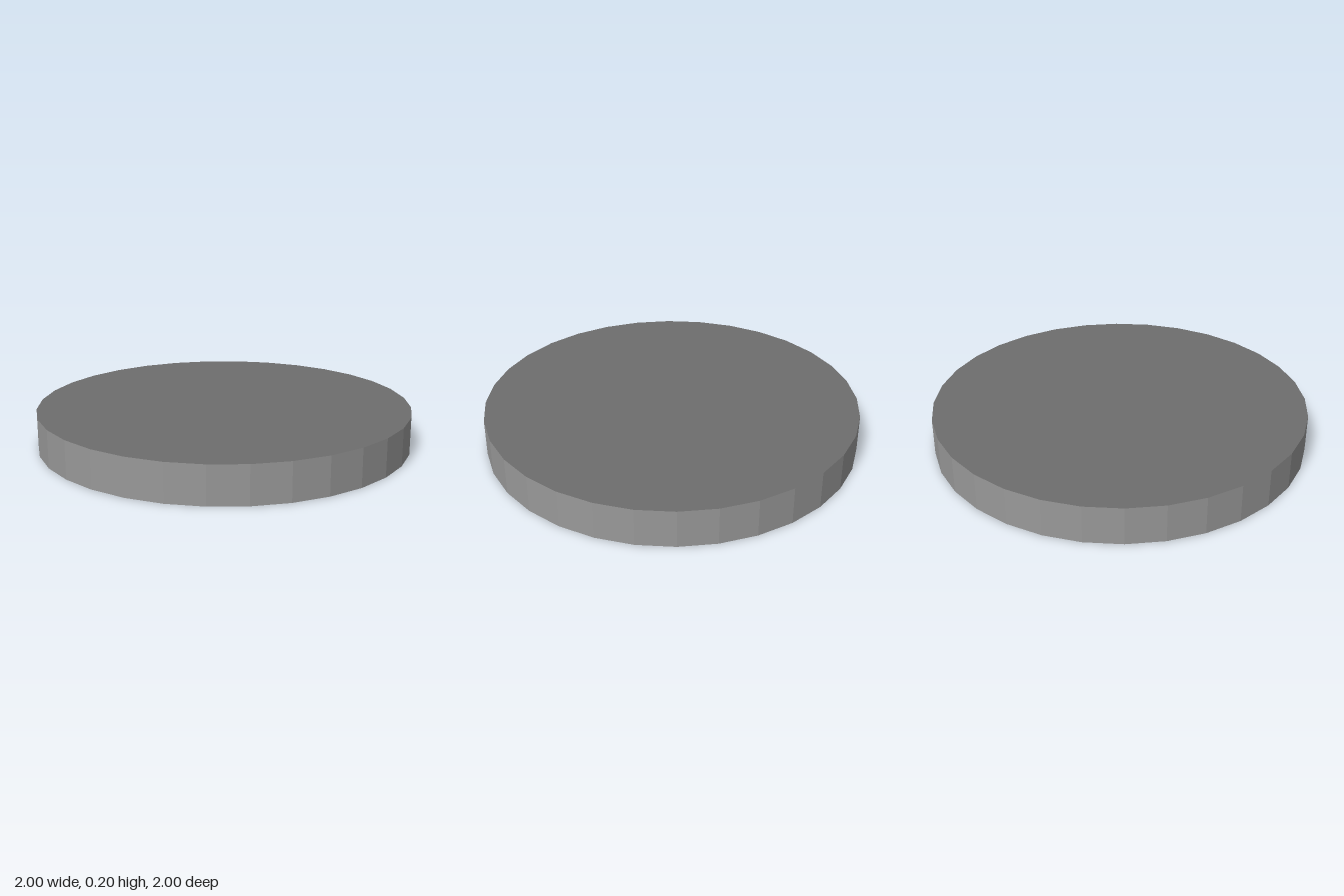
import * as THREE from 'three';

const SIDES = 32;
const R = 1, RIM = 0.84, HOLE = 0.405;      // outer, recess and socket radii
const TOP = 0.2, FLOOR = 0.095, CEILING = 0.193;

const rimMaterial = new THREE.MeshStandardMaterial({ color: 0x999999, flatShading: true });
const faceMaterial = new THREE.MeshStandardMaterial({ color: 0x6e6e6e, flatShading: true });

// Faceted surface of revolution from [radius, height] points;
// going up the profile makes it face outward
function turned(name, points, material) {
  const profile = points.map(([r, y]) => new THREE.Vector2(r, y));
  const mesh = new THREE.Mesh(new THREE.LatheGeometry(profile, SIDES), material);
  mesh.name = name;
  return mesh;
}

export function createModel() {
  const group = new THREE.Group();
  group.name = 'disc';

  // Lighter walls: outer edge, bottom rim and recess wall in one profile
  group.add(turned('rim', [[RIM, FLOOR], [RIM, 0], [R, 0], [R, TOP]], rimMaterial));
  group.add(turned('socketWall', [[HOLE, CEILING], [HOLE, FLOOR]], rimMaterial));

  // Darker flat faces: top, recess floor and bottom of the central socket
  group.add(turned('topFace', [[R, TOP], [0, TOP]], faceMaterial));
  group.add(turned('recessFloor', [[HOLE, FLOOR], [RIM, FLOOR]], faceMaterial));
  group.add(turned('socketFloor', [[0, CEILING], [HOLE, CEILING]], faceMaterial));

  return group;
}
